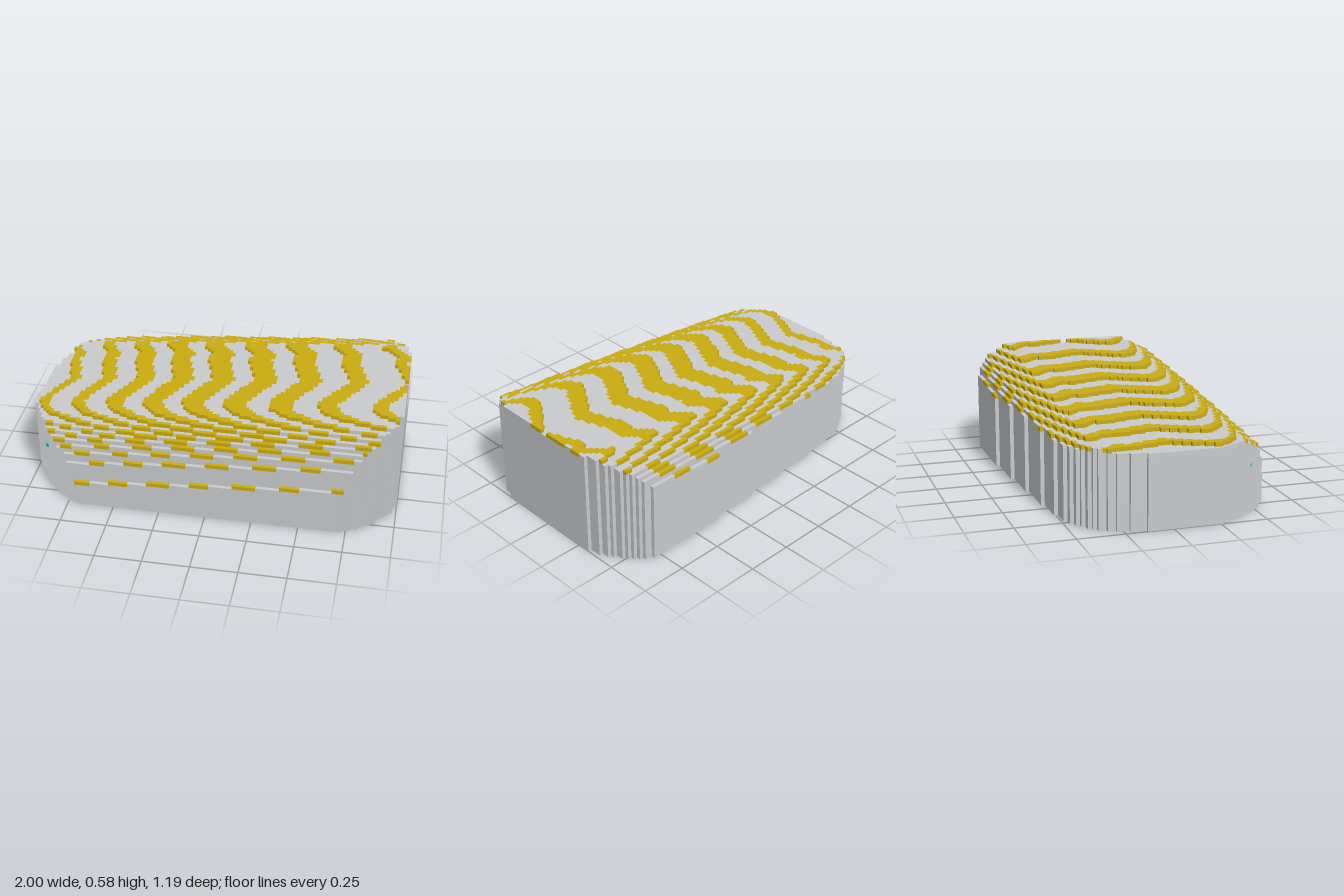
import * as THREE from 'three';

const S = 1 / 48, NX = 96, NZ = 57;

// Plan outline [x, z], running round the block
const OUTLINE = [
  [-1, -0.07], [-0.98, -0.2], [-0.945, -0.29], [-0.9, -0.375], [-0.8, -0.445], [-0.7, -0.488],
  [-0.55, -0.512], [0.43, -0.592], [0.77, -0.6], [0.82, -0.565], [0.88, -0.52], [0.94, -0.44],
  [0.98, -0.37], [1, -0.28], [1, 0.27], [0.98, 0.37], [0.94, 0.41], [0.9, 0.465], [0.86, 0.51],
  [0.76, 0.57], [0.69, 0.6], [-0.67, 0.6], [-0.72, 0.575], [-0.8, 0.525], [-0.88, 0.45],
  [-0.94, 0.365], [-0.98, 0.29], [-1, 0.24],
];

// Cross profile [z, drop in steps]: rounded shoulders and a shallow central valley
const PROFILE = [
  [-0.6, -7], [-0.583, -6], [-0.563, -4.3], [-0.542, -3.4], [-0.521, -2.5], [-0.48, -1.7],
  [-0.44, -1], [-0.41, -0.5], [-0.37, 0], [-0.27, -0.35], [-0.2, -0.3], [0, -0.56],
  [0.15, -0.2], [0.24, 0], [0.3, -0.1], [0.35, -0.4], [0.38, -0.8], [0.42, -1.4], [0.445, -2.1],
  [0.465, -2.7], [0.485, -3.2], [0.505, -4], [0.521, -5], [0.542, -6.5], [0.563, -8.9],
  [0.583, -14.4], [0.61, -16],
];

function drop(z) {
  for (let i = 1; i < PROFILE.length; i++) {
    const [z0, a] = PROFILE[i - 1], [z1, b] = PROFILE[i];
    if (z <= z1) return a + (b - a) * (z - z0) / (z1 - z0);
  }
  return -16;
}

// Distance inside the outline (negative outside)
function inset(x, z) {
  let inside = false, best = Infinity;
  OUTLINE.forEach(([ax, az], i) => {
    const [bx, bz] = OUTLINE[(i + 1) % OUTLINE.length];
    if ((az > z) !== (bz > z) && x < ax + (bx - ax) * (z - az) / (bz - az)) inside = !inside;
    const dx = bx - ax, dz = bz - az;
    const t = THREE.MathUtils.clamp(((x - ax) * dx + (z - az) * dz) / (dx * dx + dz * dz), 0, 1);
    best = Math.min(best, Math.hypot(x - ax - t * dx, z - az - t * dz));
  });
  return inside ? best : -best;
}

// Collects flat quads for one part
class Quads {
  constructor() { this.pos = []; }
  add(a, b, c, d) { this.pos.push(...a, ...b, ...c, ...a, ...c, ...d); }
  mesh(name, material) {
    const g = new THREE.BufferGeometry();
    g.setAttribute('position', new THREE.Float32BufferAttribute(this.pos, 3));
    g.computeVertexNormals();
    const m = new THREE.Mesh(g, material);
    m.name = name;
    return m;
  }
}

function paint(name, color) {
  const m = new THREE.MeshStandardMaterial({ color });
  m.name = name;
  return m;
}

export function createModel() {
  const group = new THREE.Group();
  group.name = 'steppedWedge';
  const grey = paint('lightGrey', 0xc8cacc);
  const yellow = paint('mustardYellow', 0xcaab10);
  const teal = paint('teal', 0x0a9cbe);

  // Column heights and band flags on the grid
  const cells = [];
  for (let i = 0; i < NX; i++) {
    cells.push([]);
    for (let k = 0; k < NZ; k++) {
      const x = (i - 47.5) * S, z = (k - 28) * S, depth = inset(x, z);
      const level = 24.83 + 4.35 * x - 0.62 * x * x + drop(z);
      const h = depth > 0 ? Math.max(1, Math.floor(level)) : 0;
      cells[i].push({ x, z, h, depth, band: level - h < 0.54 - 0.34 * x * x });
    }
  }
  const heightAt = (i, k) => cells[i]?.[k]?.h ?? 0;

  const body = new Quads(), bands = new Quads(), base = new Quads();
  const r = S / 2;
  cells.forEach((row, i) => row.forEach((c, k) => {
    if (!c.h) return;
    const { x, z, h } = c, y = h * S;
    const top = c.band ? bands : body;

    // Top step and underside
    top.add([x - r, y, z - r], [x - r, y, z + r], [x + r, y, z + r], [x + r, y, z - r]);
    (c.depth > 0.1 ? base : body).add(
      [x - r, 0, z - r], [x + r, 0, z - r], [x + r, 0, z + r], [x - r, 0, z + r]);

    // Exposed sides; the top block of a band column is yellow
    for (const [dx, dz] of [[1, 0], [-1, 0], [0, 1], [0, -1]]) {
      const low = heightAt(i + dx, k + dz);
      if (low >= h) continue;
      const cx = x + dx * r, cz = z + dz * r, tx = dz * r, tz = -dx * r;
      const wall = (part, y0, y1) => part.add(
        [cx - tx, y0 * S, cz - tz], [cx + tx, y0 * S, cz + tz],
        [cx + tx, y1 * S, cz + tz], [cx - tx, y1 * S, cz - tz]);
      if (low < h - 1) wall(body, low, h - 1);
      wall(top, Math.max(low, h - 1), h);
    }
  }));
  group.add(body.mesh('body', grey), bands.mesh('contourBands', yellow), base.mesh('baseInset', teal));

  // Single teal block face on the front corner
  const corner = cells[5].filter((c) => c.h).pop();
  const chip = new THREE.Mesh(new THREE.BoxGeometry(S, S, 0.004), teal);
  chip.name = 'cornerChip';
  chip.position.set(corner.x, 12.5 * S, corner.z + r);
  group.add(chip);

  return group;
}
